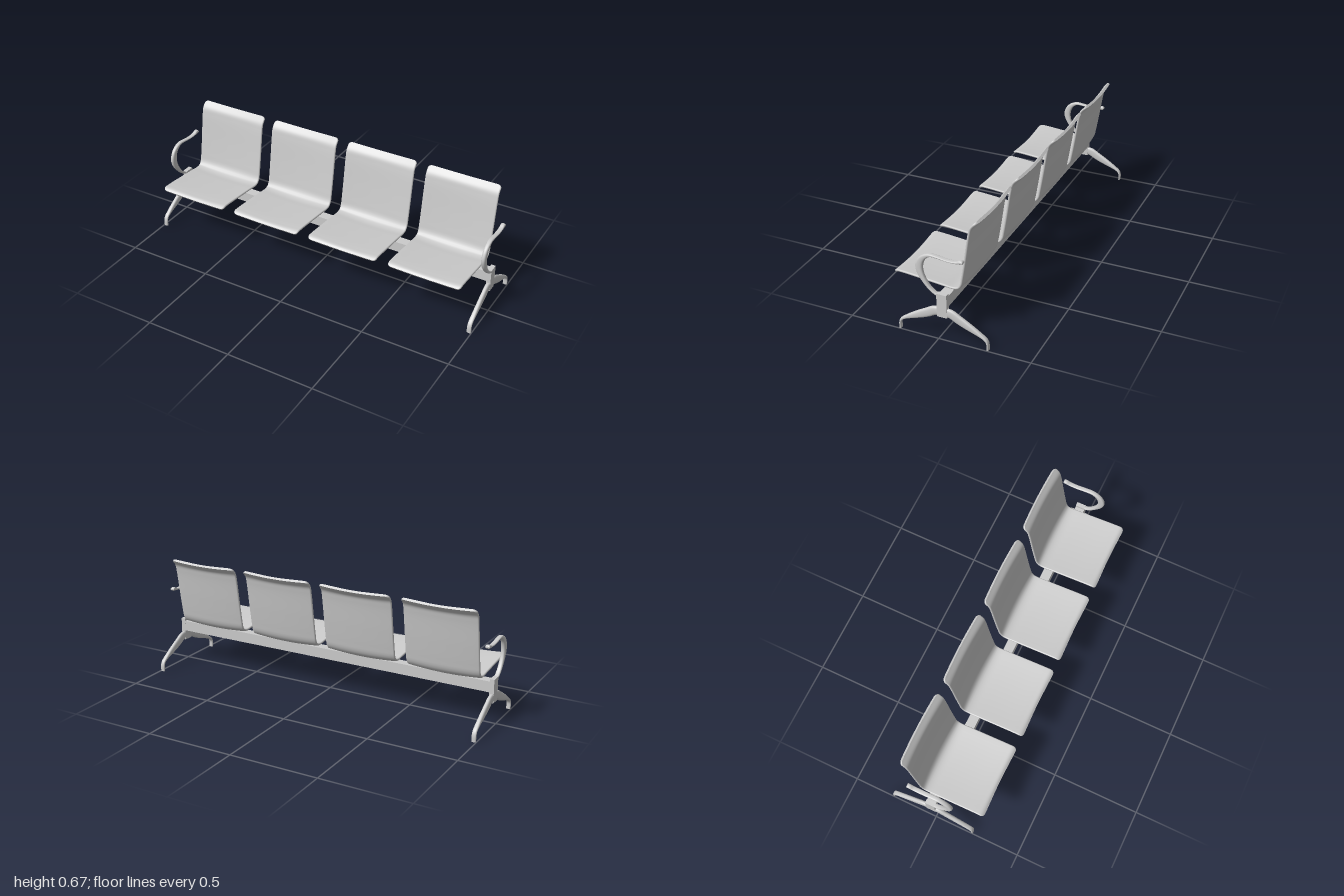
import * as THREE from 'three';

const grey = new THREE.MeshStandardMaterial({ color: 0xcccccc });

// Sweeps a cross-section along a path in the side plane. Path points are [z, y, halfThickness].
// section(half, distanceToEnd) returns a ring of [x, offset across the path].
function sweep(points, rows, section) {
  const curve = new THREE.CatmullRomCurve3(
    points.map(([z, y, h]) => new THREE.Vector3(h, y, z)), false, 'centripetal');
  curve.arcLengthDivisions = 600;
  const length = curve.getLength();
  const pos = [], index = [];
  let n = 0;
  for (let i = 0; i <= rows; i++) {
    const t = 0.5 - 0.5 * Math.cos(Math.PI * i / rows);
    const p = curve.getPointAt(t), d = curve.getTangentAt(t);
    const l = Math.hypot(d.y, d.z);
    const ring = section(p.x, Math.min(t, 1 - t) * length);
    n = ring.length;
    for (const [a, b] of ring) pos.push(a, p.y + b * d.z / l, p.z - b * d.y / l);
  }
  for (let i = 0; i < rows; i++) {
    for (let j = 0; j < n; j++) {
      const k = (j + 1) % n, a = i * n, b = a + n;
      index.push(a + j, a + k, b + k, a + j, b + k, b + j);
    }
  }
  // End caps with their own vertices, so their edges stay crisp
  for (const row of [0, rows]) {
    const base = pos.length / 3;
    const c = [0, 0, 0];
    for (let j = 0; j < n; j++) {
      for (let q = 0; q < 3; q++) {
        const v = pos[(row * n + j) * 3 + q];
        pos.push(v);
        c[q] += v / n;
      }
    }
    pos.push(...c);
    for (let j = 0; j < n; j++) {
      const k = (j + 1) % n;
      if (row) index.push(base + n, base + j, base + k);
      else index.push(base + n, base + k, base + j);
    }
  }
  const g = new THREE.BufferGeometry();
  g.setAttribute('position', new THREE.Float32BufferAttribute(pos, 3));
  g.setIndex(index);
  g.computeVertexNormals();
  return g;
}

// Thin dished sheet with rounded long edges and softened corners
function sheetSection(h, dist) {
  const r = 0.02, bow = 0.011;
  const e = Math.max(0, 1 - dist / r);
  const w = 0.21 - r * (1 - Math.sqrt(1 - e * e)) - h;
  const ring = [];
  for (const s of [1, -1]) {
    for (let i = 0; i <= 6; i++) {
      const a = -Math.PI / 2 + Math.PI * i / 6;
      ring.push([s * (w + h * Math.cos(a)), s * h * Math.sin(a)]);
    }
    for (let i = 1; i < 14; i++) ring.push([s * w * (1 - i / 7), s * h]);
  }
  return ring.map(([a, b]) => [a, b + bow * (0.5 - (a / 0.21) ** 2)]);
}

// Squarish oval bar
function barSection(h) {
  const ring = [], soft = (v) => Math.sign(v) * Math.abs(v) ** 0.75;
  for (let i = 0; i < 20; i++) {
    const a = Math.PI * 2 * i / 20;
    ring.push([0.0125 * soft(Math.cos(a)), h * soft(Math.sin(a))]);
  }
  return ring;
}

function add(parent, name, geometry, x = 0, y = 0, z = 0) {
  const mesh = new THREE.Mesh(geometry, grey);
  mesh.name = name;
  mesh.position.set(x, y, z);
  parent.add(mesh);
  return mesh;
}

export function createModel() {
  const model = new THREE.Group();
  model.name = 'bench';
  const midZ = -0.0225;

  // Beam carrying the seats
  add(model, 'beam', new THREE.BoxGeometry(1.95, 0.06, 0.054), 0, 0.222, midZ);

  // Four one-piece seat shells
  const t = 0.0068;
  const shell = sweep([
    [0.266, 0.286], [0.253, 0.296], [0.225, 0.2965], [0.1, 0.286], [0, 0.2765], [-0.055, 0.2715],
    [-0.085, 0.279], [-0.103, 0.304], [-0.112, 0.345], [-0.13, 0.45], [-0.154, 0.6],
    [-0.163, 0.634], [-0.192, 0.668],
  ].map(([z, y]) => [z, y, t]), 90, sheetSection);
  const mount = new THREE.BoxGeometry(0.08, 0.025, 0.045);
  for (const x of [-0.73, -0.243, 0.243, 0.73]) {
    add(model, 'seatShell', shell, x);
    add(model, 'seatMount', mount, x, 0.26, midZ);
  }

  // End frames: post, two splayed legs and a looped armrest
  const post = new THREE.BoxGeometry(0.025, 0.132, 0.055);
  const leg = sweep([
    [-0.025, 0.025 + 0.134, 0.024], [0.02, 0.158, 0.025], [0.06, 0.137, 0.0245],
    [0.1, 0.117, 0.022], [0.15, 0.093, 0.0155], [0.19, 0.072, 0.009],
    [0.21, 0.058, 0.0075], [0.2195, 0.04, 0.006], [0.2205, 0.002, 0.006],
  ].map(([z, y, h]) => [z - midZ - 0.0225, y, h]), 40, barSection);
  const arm = sweep([
    [-0.008, 0.255, 0.007], [0.012, 0.261, 0.007], [0.043, 0.284, 0.008], [0.07, 0.318, 0.0115],
    [0.09, 0.355, 0.0165], [0.0985, 0.395, 0.02], [0.087, 0.435, 0.0175], [0.064, 0.46, 0.0125],
    [0.036, 0.473, 0.008], [0, 0.472, 0.006], [-0.06, 0.465, 0.005], [-0.105, 0.4665, 0.006],
    [-0.127, 0.472, 0.0105], [-0.138, 0.472, 0.009], [-0.142, 0.472, 0.004],
  ], 70, barSection);

  for (const side of [-1, 1]) {
    const frame = new THREE.Group();
    frame.name = side > 0 ? 'leftEndFrame' : 'rightEndFrame';
    frame.position.x = side * 0.9865;
    add(frame, 'post', post, 0, 0.2, midZ);
    add(frame, 'frontLeg', leg);
    add(frame, 'backLeg', leg, 0, 0, 2 * midZ).rotation.y = Math.PI;
    add(frame, 'armrest', arm);
    model.add(frame);
  }
  return model;
}
